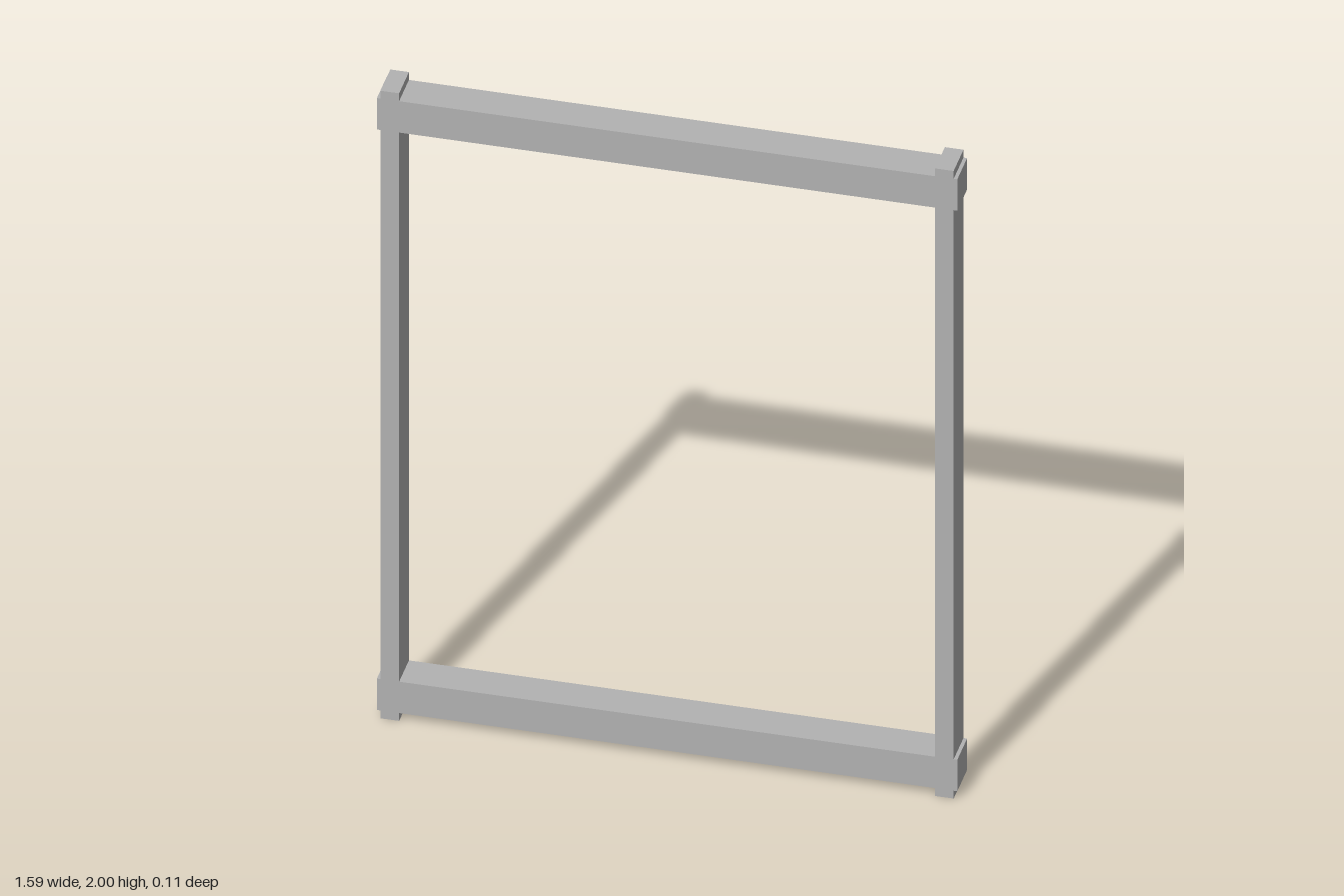
import * as THREE from 'three';

const DEPTH = 0.106;
const RAIL_HALF = 0.796;            // half length of a horizontal rail
const POST_IN = 0.735, POST_OUT = 0.786;
const RAIL_LOW = 0.025, RAIL_HIGH = 0.125; // bottom rail; the top one mirrors it
const HEIGHT = 2;

export function createModel() {
  const model = new THREE.Group();
  model.name = 'frame';
  const grey = new THREE.MeshStandardMaterial({ color: 0xb2b2b2 });
  grey.name = 'grey';

  // Box given by its x and y limits, centred in z
  const bar = (name, x0, x1, y0, y1) => {
    const mesh = new THREE.Mesh(new THREE.BoxGeometry(x1 - x0, y1 - y0, DEPTH), grey);
    mesh.position.set((x0 + x1) / 2, (y0 + y1) / 2, 0);
    mesh.name = name;
    return mesh;
  };

  // Horizontal rails, reaching slightly past the posts
  model.add(bar('bottomRail', -RAIL_HALF, RAIL_HALF, RAIL_LOW, RAIL_HIGH));
  model.add(bar('topRail', -RAIL_HALF, RAIL_HALF, HEIGHT - RAIL_HIGH, HEIGHT - RAIL_LOW));

  // Upright posts: a span between the rails and a short stub beyond each rail
  for (const [side, s] of [['left', 1], ['right', -1]]) {
    const x0 = Math.min(s * POST_IN, s * POST_OUT);
    const x1 = Math.max(s * POST_IN, s * POST_OUT);
    const post = new THREE.Group();
    post.name = side + 'Post';
    post.add(
      bar(side + 'Foot', x0, x1, 0, RAIL_LOW),
      bar(side + 'Upright', x0, x1, RAIL_HIGH, HEIGHT - RAIL_HIGH),
      bar(side + 'Cap', x0, x1, HEIGHT - RAIL_LOW, HEIGHT)
    );
    model.add(post);
  }
  return model;
}
